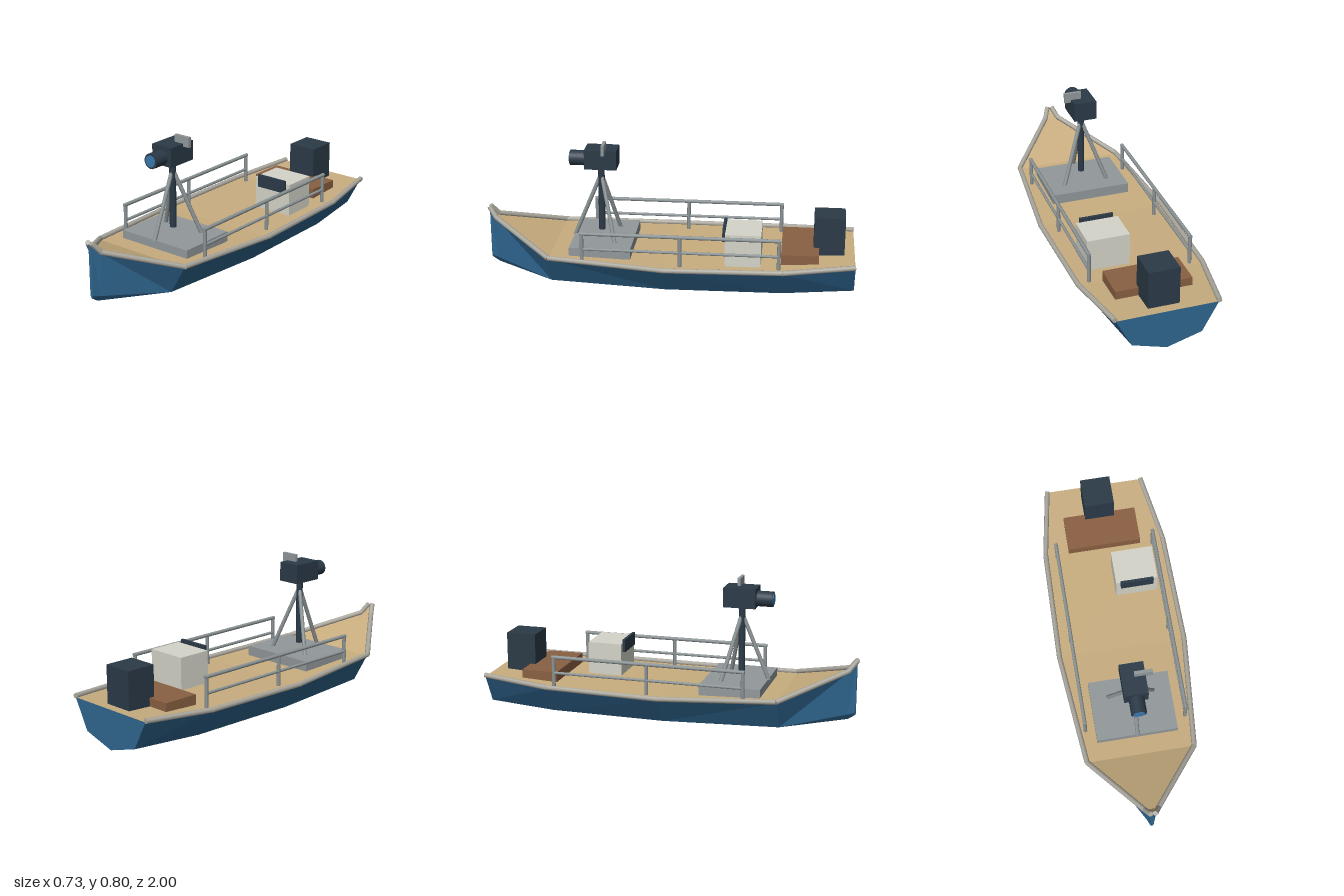
import * as THREE from 'three';

const mat = (name, color, side = THREE.FrontSide) => {
  const m = new THREE.MeshStandardMaterial({ color, side });
  m.name = name;
  return m;
};

export function createModel() {
  const boat = new THREE.Group();
  boat.name = 'boat';
  const blue = mat('hull blue', 0x2f6690);
  const tan = mat('deck tan', 0xc8ad7f);
  const trim = mat('gunwale grey', 0xaaa79d);
  const steel = mat('rail steel', 0x8c9496);
  const plate = mat('plate grey', 0x92989b);
  const dark = mat('dark slate', 0x2b3a47);
  const wood = mat('bench brown', 0x8a6042);
  const white = mat('console off-white', 0xd4d4c9);
  const glass = mat('lens blue', 0x3a78ab);

  const add = (name, geometry, material, parent = boat) => {
    const mesh = new THREE.Mesh(geometry, material);
    mesh.name = name;
    parent.add(mesh);
    return mesh;
  };
  // Box given by its extents on each axis
  const box = (name, [x0, x1], [y0, y1], [z0, z1], material, parent) => {
    const mesh = add(name, new THREE.BoxGeometry(x1 - x0, y1 - y0, z1 - z0), material, parent);
    mesh.position.set((x0 + x1) / 2, (y0 + y1) / 2, (z0 + z1) / 2);
    return mesh;
  };
  // Round bar between two points
  const bar = (name, a, b, r, material, parent, sides = 10) => {
    const p = new THREE.Vector3(...a), q = new THREE.Vector3(...b);
    const d = q.clone().sub(p);
    const mesh = add(name, new THREE.CylinderGeometry(r, r, d.length(), sides), material, parent);
    mesh.position.copy(p).add(q).multiplyScalar(0.5);
    mesh.quaternion.setFromUnitVectors(new THREE.Vector3(0, 1, 0), d.normalize());
    return mesh;
  };

  // Stations: z, gunwale half-width and height, chine half-width and height, keel height
  const stations = [
    [-1, 0.27, 0.235, 0.185, 0.075, 0.02],
    [-0.62, 0.335, 0.215, 0.235, 0.065, 0.005],
    [0, 0.348, 0.208, 0.245, 0.063, 0.002],
    [0.62, 0.29, 0.228, 0.2, 0.07, 0.015],
    [0.95, 0.035, 0.348, 0.024, 0.115, 0.083],
    [0.99, 0.01, 0.4, 0.008, 0.125, 0.11],
  ];
  const rings = stations.map(([z, gx, gy, cx, cy, ky]) =>
    [[gx, gy, z], [cx, cy, z], [0, ky, z], [-cx, cy, z], [-gx, gy, z]]);
  const hullPoints = [], deckPoints = [];
  for (let i = 0; i < rings.length - 1; i++) {
    for (let j = 0; j < 5; j++) {
      const k = (j + 1) % 5;
      const a = rings[i][j], b = rings[i + 1][j], c = rings[i][k], d = rings[i + 1][k];
      const faces = j === 1 || j === 3 ? [a, b, d, a, d, c] : [a, b, c, b, d, c];
      (j === 4 ? deckPoints : hullPoints).push(...faces);
    }
  }
  // Transom and stem caps
  const stern = rings[0], bow = rings[rings.length - 1];
  for (let j = 1; j < 4; j++) {
    hullPoints.push(stern[0], stern[j], stern[j + 1], bow[0], bow[j + 1], bow[j]);
  }
  const faceted = points => {
    const g = new THREE.BufferGeometry();
    g.setAttribute('position', new THREE.Float32BufferAttribute(points.flat(), 3));
    g.computeVertexNormals();
    return g;
  };
  add('hull', faceted(hullPoints), blue);
  add('deck', faceted(deckPoints), tan);

  // Gunwale trim and side railings, mirrored
  for (const s of [1, -1]) {
    const side = s > 0 ? 'left' : 'right';
    const gunwale = new THREE.Group();
    gunwale.name = side + 'Gunwale';
    boat.add(gunwale);
    const path = stations.map(([z, gx, gy]) => [s * (gx + 0.002), gy + 0.007, z]);
    for (let i = 0; i < path.length - 1; i++) {
      bar('gunwaleSegment', path[i], path[i + 1], 0.014, trim, gunwale, 8);
    }

    const railing = new THREE.Group();
    railing.name = side + 'Railing';
    boat.add(railing);
    const x = s * 0.273;
    for (const z of [0.44, -0.08, -0.6]) {
      bar('post', [x, 0.21, z], [x, 0.375, z], 0.01, steel, railing);
    }
    bar('topRail', [x, 0.375, 0.45], [x, 0.375, -0.61], 0.01, steel, railing);
    bar('middleRail', [x, 0.288, 0.44], [x, 0.288, -0.6], 0.008, steel, railing);
  }

  // Deck fittings
  box('bench', [-0.205, 0.205], [0.215, 0.27], [-0.81, -0.61], wood);
  box('sternLocker', [-0.083, 0.083], [0.22, 0.438], [-0.945, -0.78], dark);
  box('console', [0.02, 0.25], [0.205, 0.39], [-0.505, -0.315], white);
  box('consoleScreen', [0.045, 0.227], [0.34, 0.41], [-0.315, -0.3], dark);
  box('mountingPlate', [-0.22, 0.22], [0.215, 0.27], [0.19, 0.52], plate);

  // Tripod with camera
  const tripod = new THREE.Group();
  tripod.name = 'tripod';
  boat.add(tripod);
  bar('mast', [0, 0.3, 0.37], [0, 0.665, 0.37], 0.018, dark, tripod, 14);
  for (const [x, z] of [[0, 0.52], [0.125, 0.285], [-0.125, 0.285]]) {
    bar('leg', [0, 0.62, 0.37], [x, 0.262, z], 0.011, steel, tripod);
  }
  const camera = new THREE.Group();
  camera.name = 'cameraHead';
  boat.add(camera);
  box('cameraBody', [-0.063, 0.063], [0.66, 0.765], [0.28, 0.453], dark, camera);
  bar('lensBarrel', [0, 0.705, 0.45], [0, 0.705, 0.537], 0.041, dark, camera, 24);
  bar('lensGlass', [0, 0.705, 0.535], [0, 0.705, 0.541], 0.031, glass, camera, 24);
  box('sidePanel', [0.005, 0.1], [0.75, 0.805], [0.34, 0.357], plate, camera);

  return boat;
}
